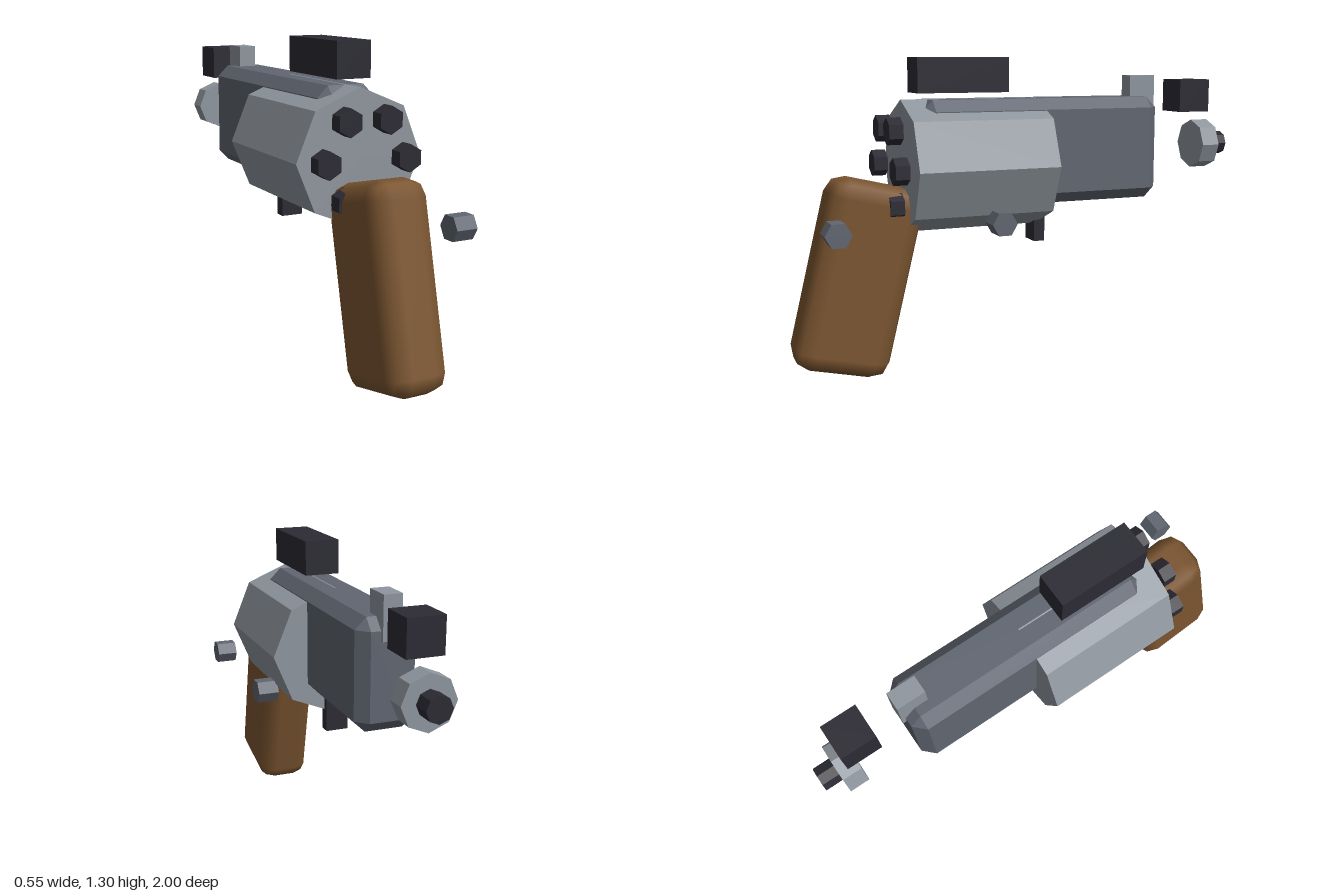
import * as THREE from 'three';
import { RoundedBoxGeometry } from 'three/addons/geometries/RoundedBoxGeometry.js';
import { ConvexGeometry } from 'three/addons/geometries/ConvexGeometry.js';

function colour(name, hex) {
  const m = new THREE.MeshStandardMaterial({ color: hex });
  m.name = name;
  return m;
}

// Box given by its limits on each axis
function box([x0, x1], [y0, y1], [z0, z1]) {
  return new THREE.BoxGeometry(x1 - x0, y1 - y0, z1 - z0)
    .translate((x0 + x1) / 2, (y0 + y1) / 2, (z0 + z1) / 2);
}

// Faceted prism along z (a corner points up)
function prism(radius, length, sides) {
  const g = new THREE.CylinderGeometry(radius, radius, length, sides).rotateX(Math.PI / 2).toNonIndexed();
  g.computeVertexNormals();
  return g;
}

// Box with every edge cut at 45 degrees
function chamferBox(w, h, d, c) {
  const points = [];
  for (const sx of [-1, 1]) for (const sy of [-1, 1]) for (const sz of [-1, 1]) {
    for (let axis = 0; axis < 3; axis++) {
      const half = [w / 2, h / 2, d / 2].map((v, i) => (i === axis ? v : v - c));
      points.push(new THREE.Vector3(sx * half[0], sy * half[1], sz * half[2]));
    }
  }
  return new ConvexGeometry(points);
}

export function createModel() {
  const model = new THREE.Group();
  model.name = 'revolver';
  const steel = colour('light steel', 0x8f969e);
  const gunmetal = colour('gunmetal', 0x606671);
  const black = colour('dark metal', 0x2c2b34);
  const wood = colour('wood', 0x7b5530);

  function add(name, geometry, material, x = 0, y = 0, z = 0) {
    const mesh = new THREE.Mesh(geometry, material);
    mesh.name = name;
    mesh.position.set(x, y, z);
    model.add(mesh);
    return mesh;
  }

  // Frame and barrel block
  add('frame', chamferBox(0.248, 0.445, 1.07, 0.046), gunmetal, 0, 0.913, -0.07);

  // Eight-sided drum with six cartridge heads
  const drumY = 0.865;
  add('drum', prism(0.272, 0.595, 8), steel, 0, drumY, 0.235);
  for (let i = 0; i < 6; i++) {
    const a = (i * Math.PI) / 3;
    add('cartridge', prism(0.055, 0.058, 6), black,
      0.175 * Math.cos(a), drumY + 0.175 * Math.sin(a), 0.586);
  }

  // Tilted wooden grip
  const grip = add('grip', new RoundedBoxGeometry(0.248, 0.79, 0.396, 1, 0.075), wood, 0, 0.418, 0.73);
  grip.rotation.x = -0.24;

  // Muzzle ring and bore
  add('muzzle', prism(0.109, 0.083, 8), steel, 0, 0.913, -0.883);
  add('bore', prism(0.052, 0.08, 8), black, 0, 0.913, -0.96);

  // Sights, hammer block and trigger
  add('rearSight', box([-0.074, 0.074], [1.163, 1.307], [0.088, 0.48]), black);
  add('frontSight', box([-0.038, 0.038], [1.052, 1.227], [-0.621, -0.5]), steel);
  add('frontBlock', box([-0.074, 0.074], [1.063, 1.207], [-0.885, -0.735]), black);
  add('trigger', box([-0.048, 0.048], [0.52, 0.72], [-0.085, -0.037]), black);

  // Two hexagonal screws on the left side
  for (const z of [0.853, 0.185]) {
    const screw = prism(0.053, 0.09, 6).rotateZ(Math.PI / 2).rotateY(Math.PI / 2).rotateX(Math.PI / 2);
    add('screw', screw.rotateX(Math.PI / 2), gunmetal, 0.233, 0.645, z);
  }

  model.children.forEach((part) => { part.position.x -= 0.003; });
  return model;
}
